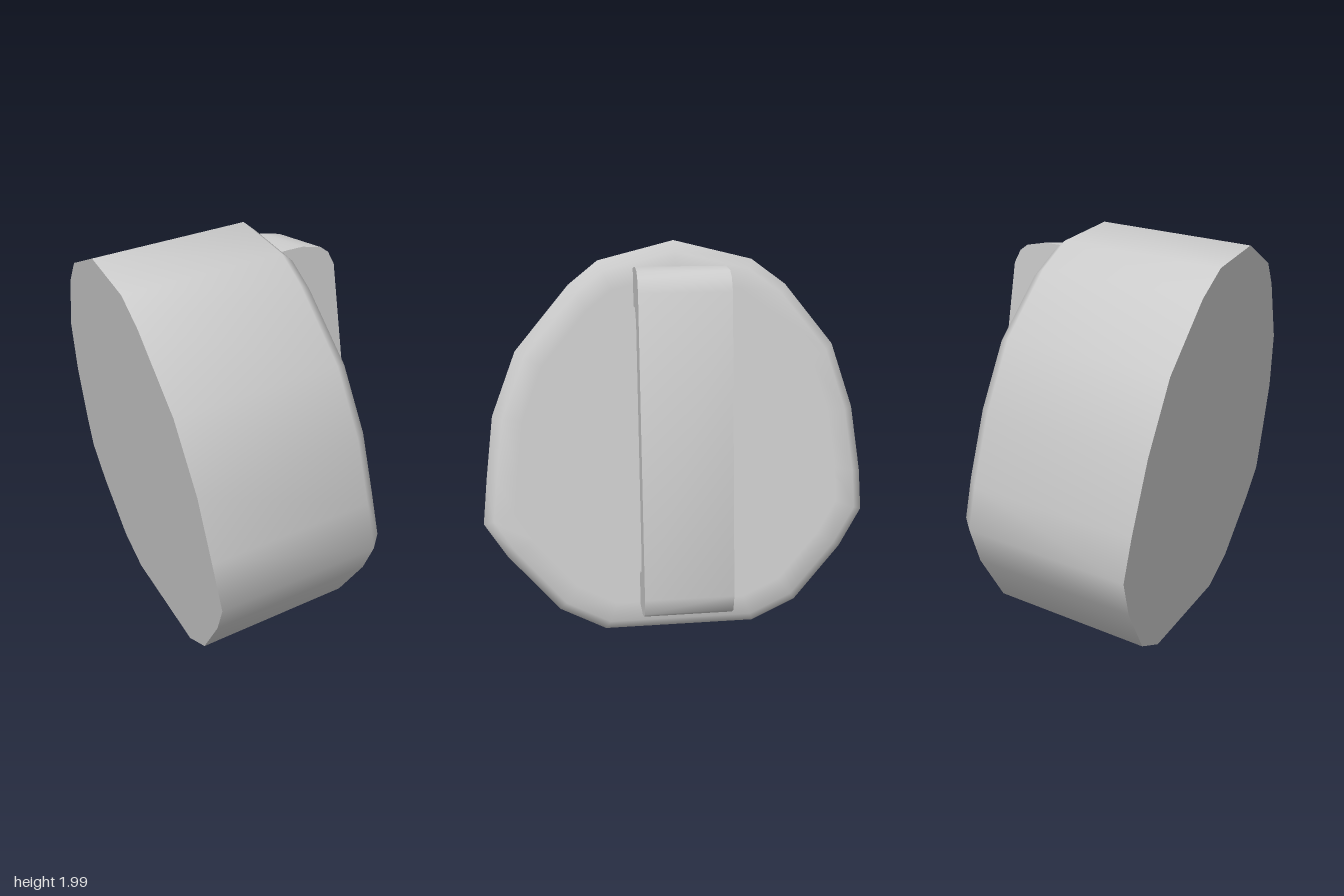
import * as THREE from 'three';
import { toCreasedNormals } from 'three/addons/utils/BufferGeometryUtils.js';

const material = new THREE.MeshStandardMaterial({ color: 0xcccccc });

// Rounded-off outline of the body in its own plane: [height, z], from the top round to the bottom and back
const OUTLINE = [
  [1.9, 0], [1.81, 0.36], [1.70, 0.5], [1.395, 0.76], [1.09, 0.88], [0.79, 0.92], [0.565, 0.945],
  [0.40, 0.84], [0.115, 0.594], [0, 0.37],
  [0, -0.375], [0.10, -0.594], [0.37, -0.827], [0.56, -0.938], [0.76, -0.927], [1.085, -0.88],
  [1.40, -0.775], [1.69, -0.54], [1.81, -0.375],
];

// Sections along the body axis: [distance, scale about the middle]
const SECTIONS = [[0, 0], [0, 1], [0.755, 1], [0.815, 0.941], [0.815, 0.84], [0.815, 0]];

function bodyGeometry() {
  const MID = 0.95, n = OUTLINE.length, pos = [];
  const point = (s, i) => {
    const [x, k] = SECTIONS[s], [h, z] = OUTLINE[i % n];
    return [x, MID + (h - MID) * k, z * k];
  };
  for (let s = 0; s < SECTIONS.length - 1; s++) {
    for (let i = 0; i < n; i++) {
      const a = point(s, i), b = point(s, i + 1), c = point(s + 1, i + 1), d = point(s + 1, i);
      if (SECTIONS[s][1] > 0) pos.push(...a, ...b, ...c);
      if (SECTIONS[s + 1][1] > 0) pos.push(...a, ...c, ...d);
      else if (SECTIONS[s][1] === 0) continue;
    }
  }
  const g = new THREE.BufferGeometry();
  g.setAttribute('position', new THREE.Float32BufferAttribute(pos, 3));
  return toCreasedNormals(g, 1.0);
}

// Strap-like grip: side profile with softened corners, extruded across z
function handleGeometry() {
  const profile = [
    [0.13, 1.87], [0.21, 1.885], [0.29, 1.895], [0.39, 1.885], [0.43, 1.86], [0.465, 1.80],
    [0.67, 0.43], [0.655, 0.35], [0.61, 0.315], [0.53, 0.28], [0.38, 0.26],
    [0.36, 0.432], [0.45, 0.455], [0.495, 0.53], [0.33, 1.65], [0.265, 1.71], [0.155, 1.70],
  ];
  const shape = new THREE.Shape(profile.map(([x, y]) => new THREE.Vector2(x, y)));
  const g = new THREE.ExtrudeGeometry(shape, { depth: 0.415, bevelEnabled: false });
  g.translate(0, 0, -0.217);
  return toCreasedNormals(g, 1.0);
}

export function createModel() {
  const model = new THREE.Group();
  model.name = 'tiltedKnobWithHandle';

  // Body leans back, standing on its rear bottom edge
  const body = new THREE.Mesh(bodyGeometry(), material);
  body.name = 'body';
  body.position.set(-0.39, 0.005, 0);
  body.rotation.z = 0.148;
  model.add(body);

  const handle = new THREE.Mesh(handleGeometry(), material);
  handle.name = 'handle';
  model.add(handle);

  return model;
}
